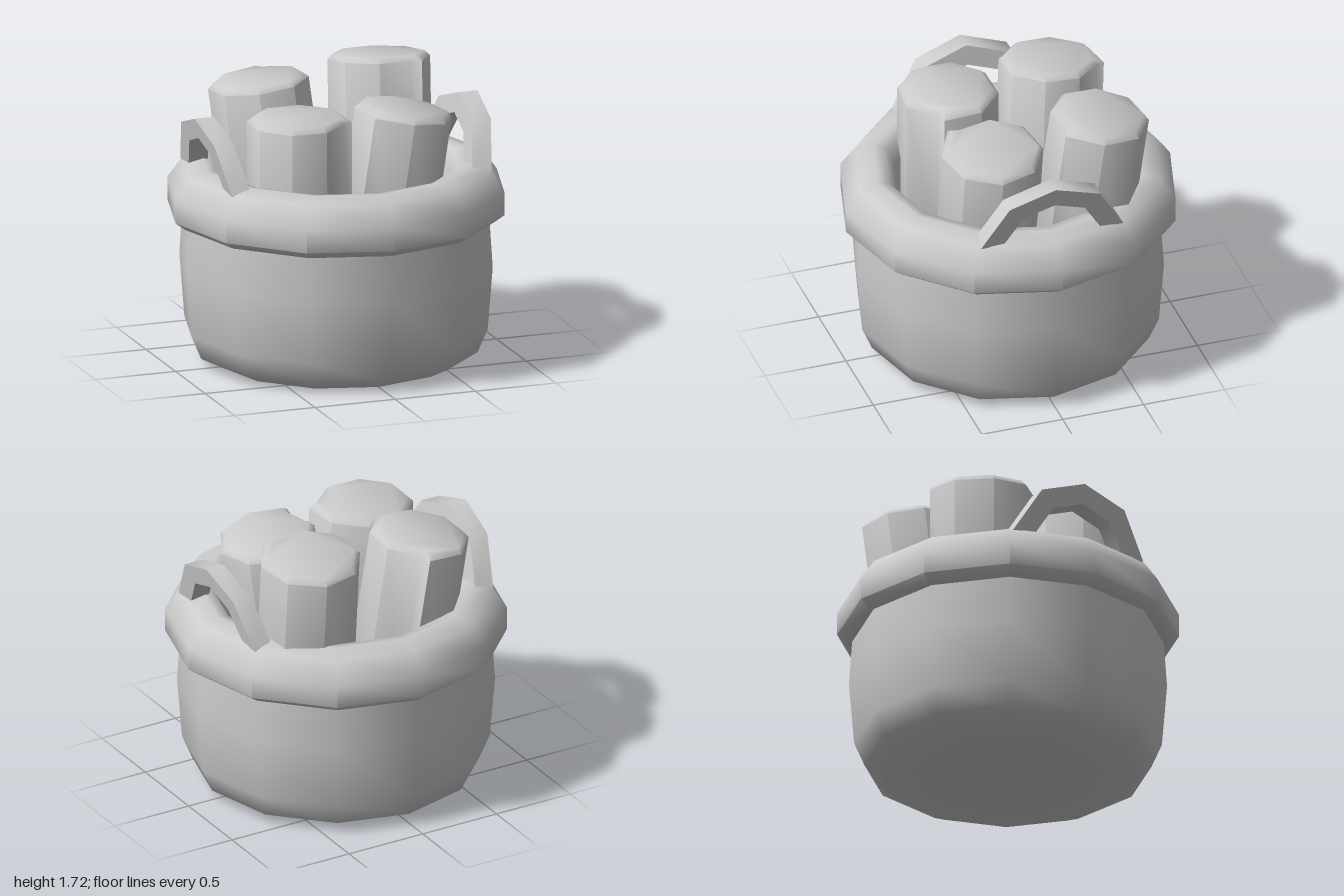
import * as THREE from 'three';
import { toCreasedNormals } from 'three/addons/utils/BufferGeometryUtils.js';

const material = new THREE.MeshStandardMaterial({ color: 0xcccccc });

function addMesh(parent, name, geometry, crease = 0.95) {
  const mesh = new THREE.Mesh(toCreasedNormals(geometry, crease), material);
  mesh.name = name;
  parent.add(mesh);
  return mesh;
}

// Twelve-sided turned form from [radius, height] pairs
function turned(profile) {
  return new THREE.LatheGeometry(profile.map(([r, y]) => new THREE.Vector2(r, y)), 12);
}

// Rolled cloth: eight-sided spiral outline with one overlapping edge, top at y = 0
function rollGeometry(stepAngle, length) {
  const points = [];
  for (let i = 0; i <= 8; i++) {
    const t = i / 8;
    const a = stepAngle + t * (Math.PI * 2 - 0.14);
    const r = 0.32 - 0.045 * t;
    points.push(new THREE.Vector2(Math.cos(a) * r, Math.sin(a) * r));
  }
  const bevel = 0.03;
  const geometry = new THREE.ExtrudeGeometry(new THREE.Shape(points), {
    depth: length - 2 * bevel, bevelEnabled: true, bevelSegments: 1,
    bevelSize: bevel, bevelThickness: bevel, bevelOffset: -bevel,
  });
  geometry.translate(0, 0, bevel - length);
  geometry.rotateX(-Math.PI / 2);
  return geometry;
}

// Faceted arch standing in the y-z plane, leaning outward as it rises
function handleGeometry(side) {
  const outer = [[-0.44, 1.16], [-0.28, 1.43], [0, 1.525], [0.28, 1.43], [0.44, 1.16]];
  const inner = [[0.3, 1.16], [0.19, 1.34], [0, 1.405], [-0.19, 1.34], [-0.3, 1.16]];
  const shape = new THREE.Shape([...outer, ...inner].map(([z, y]) => new THREE.Vector2(z, y)));
  const geometry = new THREE.ExtrudeGeometry(shape, { depth: 0.12, bevelEnabled: false });
  geometry.translate(0, 0, -0.06);
  geometry.rotateY(side * Math.PI / 2);
  const p = geometry.attributes.position;
  for (let i = 0; i < p.count; i++) {
    p.setX(i, p.getX(i) + side * (0.75 + (p.getY(i) - 1.17) * 0.2));
  }
  return geometry;
}

export function createModel() {
  const model = new THREE.Group();
  model.name = 'basketOfRolledTowels';

  // Basket wall and base
  addMesh(model, 'basketBody', turned([
    [0, 0], [0.72, 0], [0.84, 0.06], [0.9, 0.2], [0.93, 0.58], [0.91, 0.88],
  ]));

  // Thick rolled rim, continuing into the lining and inner floor
  addMesh(model, 'rimAndLining', turned([
    [0.89, 0.855], [0.94, 0.855], [1, 0.9], [1, 1.04], [0.91, 1.165], [0.8, 1.195],
    [0.73, 1.18], [0.68, 1.08], [0.68, 0.45], [0, 0.45],
  ]));

  // Pair of handles
  addMesh(model, 'leftHandle', handleGeometry(1));
  addMesh(model, 'rightHandle', handleGeometry(-1));

  // Towels: top centre, lean direction (x, z), angle of the loose edge in degrees
  const towels = [
    ['frontRightTowel', [-0.34, 1.55, 0.27], [0, 0], -20],
    ['frontLeftTowel', [0.34, 1.53, 0.2], [0.15, 0], -140],
    ['backRightTowel', [-0.34, 1.625, -0.37], [-0.12, -0.07], 73],
    ['backLeftTowel', [0.41, 1.69, -0.42], [0.03, -0.13], -55],
  ];
  const up = new THREE.Vector3(0, 1, 0);
  for (const [name, top, lean, step] of towels) {
    const geometry = rollGeometry(THREE.MathUtils.degToRad(step), top[1] - 0.42);
    const towel = addMesh(model, name, geometry);
    towel.position.set(...top);
    towel.quaternion.setFromUnitVectors(up, new THREE.Vector3(lean[0], 1, lean[1]).normalize());
  }

  return model;
}
